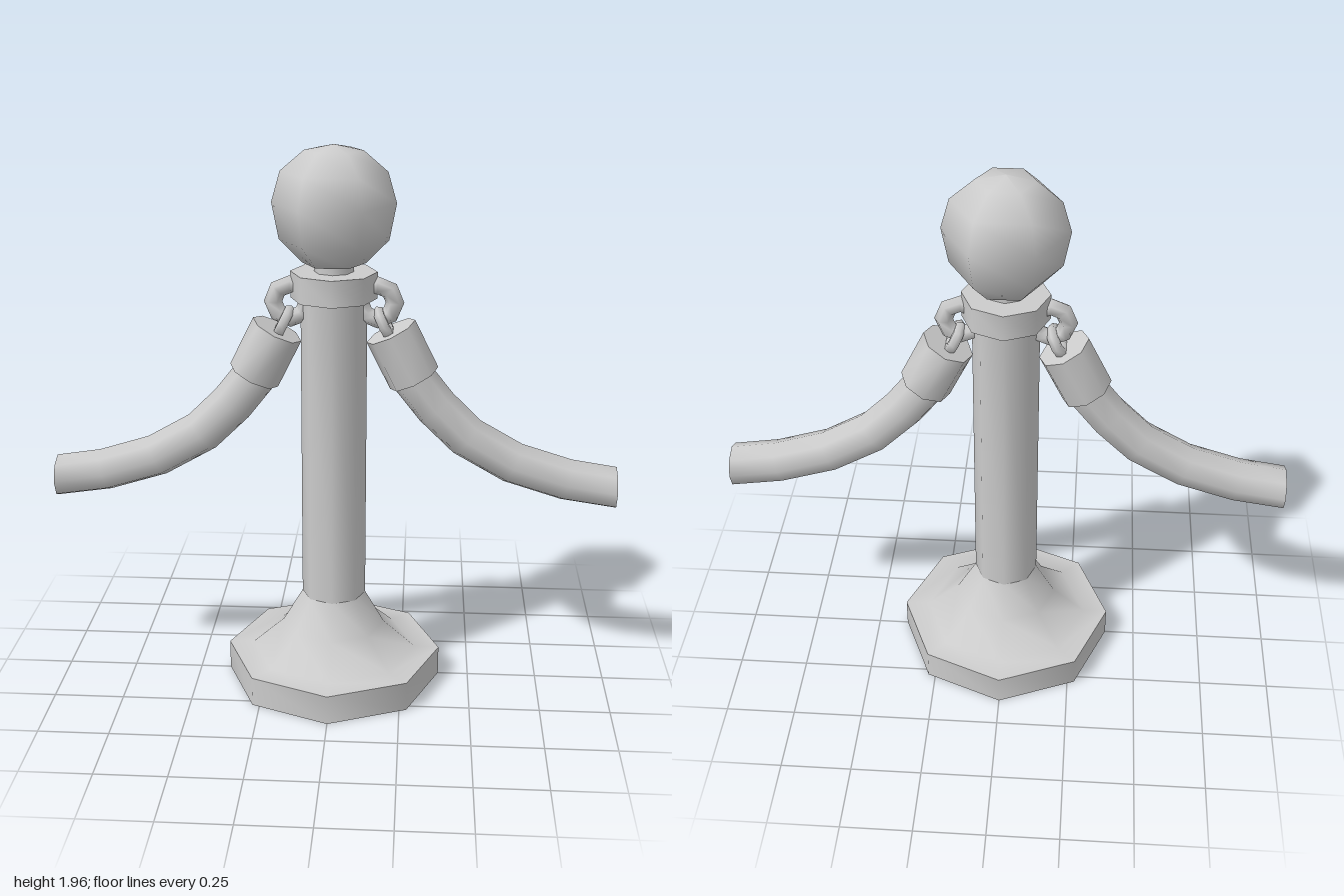
import * as THREE from 'three';
import { toCreasedNormals } from 'three/addons/utils/BufferGeometryUtils.js';

const material = new THREE.MeshStandardMaterial({ color: 0xcccccc });

function part(name, geometry, parent, creased = true) {
  const geo = creased ? toCreasedNormals(geometry, 0.9) : geometry;
  const mesh = new THREE.Mesh(geo, material);
  mesh.name = name;
  parent.add(mesh);
  return mesh;
}

const lathe = (points, sides, start = 0) =>
  new THREE.LatheGeometry(points.map(([r, y]) => new THREE.Vector2(r, y)), sides, start);

// One chain, cuff and rope, reaching out along +x
function createRopeSide(name) {
  const side = new THREE.Group();
  side.name = name;

  // Link fixed to the post
  part('postLink', new THREE.TorusGeometry(0.06, 0.032, 6, 8), side, false).position.set(0.15, 1.423, 0);

  // Cuff axis runs down and outwards
  const top = new THREE.Vector3(0.197, 1.322, 0);
  const bottom = new THREE.Vector3(0.28, 1.155, 0);
  const axis = bottom.clone().sub(top);
  const tilt = Math.atan2(axis.x, -axis.y);

  // Link joining the cuff to the post link, turned a quarter
  const ropeLink = part('ropeLink', new THREE.TorusGeometry(0.045, 0.02, 6, 8).rotateY(Math.PI / 2), side, false);
  ropeLink.position.set(0.174, 1.35, 0);
  ropeLink.rotation.z = tilt;

  const cuff = part('cuff', new THREE.CylinderGeometry(0.093, 0.093, axis.length(), 8), side);
  cuff.position.copy(top).add(bottom).multiplyScalar(0.5);
  cuff.rotation.z = tilt;
  cuff.scale.z = 1.05;

  // Hanging rope: one ring of vertices at each curve point
  const points = [[0.235, 1.245], [0.285, 1.145], [0.36, 1.05], [0.47, 0.942],
    [0.635, 0.848], [0.826, 0.789], [1, 0.763]].map(([x, y]) => new THREE.Vector3(x, y, 0));
  const curve = new THREE.CatmullRomCurve3(points);
  curve.getPointAt = (u, target) => curve.getPoint(u, target);
  curve.getTangentAt = (u, target = new THREE.Vector3()) =>
    u < 1 ? curve.getTangent(u, target) : target.set(1, 0, 0);
  part('rope', new THREE.TubeGeometry(curve, points.length - 1, 0.077, 8), side);

  // Cut end of the rope
  part('ropeEnd', new THREE.CircleGeometry(0.077, 8).rotateY(Math.PI / 2), side).position.set(1, 0.763, 0);
  return side;
}

export function createModel() {
  const model = new THREE.Group();
  model.name = 'ropeBarrierPost';

  // Flared foot
  part('base', lathe([[0, 0], [0.39, 0], [0.39, 0.107], [0.3, 0.11], [0.185, 0.21], [0.115, 0.33]], 8), model);

  // Upright post
  part('post', lathe([[0.115, 0.33], [0.115, 1.45]], 8), model);

  // Collar and neck under the ball
  part('collar', lathe([[0, 1.437], [0.15, 1.437], [0.15, 1.53], [0, 1.53]], 8), model);
  part('neck', lathe([[0.068, 1.52], [0.068, 1.58]], 8), model);

  // Six-sided ball with a vertex on the x axis
  part('ball', lathe([[0, 1.545], [0.11, 1.56], [0.188, 1.64], [0.212, 1.765],
    [0.182, 1.87], [0.1, 1.94], [0, 1.96]], 6, Math.PI / 2), model, false);

  // The same rope on both sides
  model.add(createRopeSide('leftRope'));
  const right = createRopeSide('rightRope');
  right.rotation.y = Math.PI;
  model.add(right);

  return model;
}
